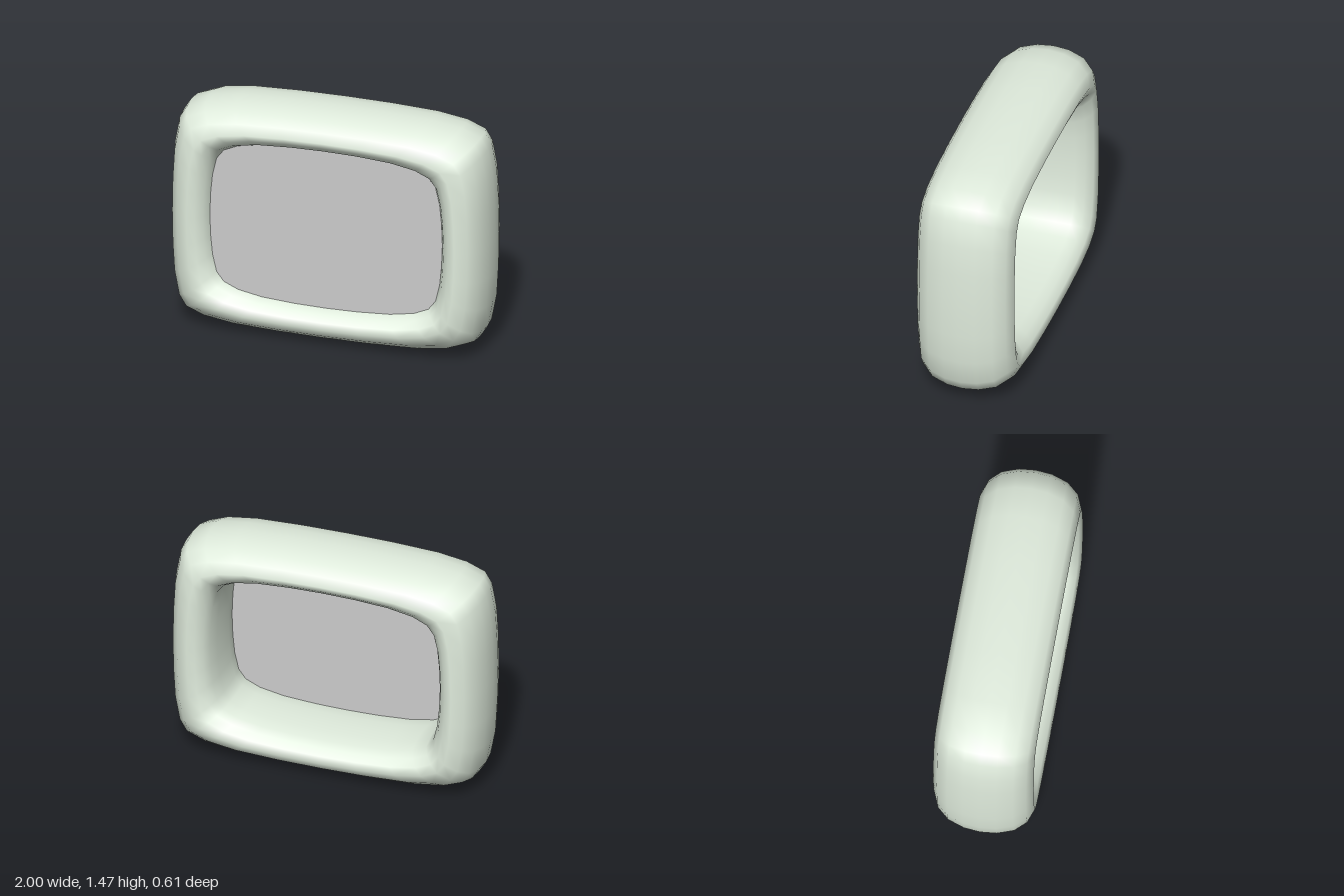
import * as THREE from 'three';

const CENTRE_Y = 0.737;
const SCREEN_Z = 0.19;

// One quarter of the rounded outline in unit size: outer edge and opening
const OUTER = [[1, 0], [0.996, 0.3], [0.985, 0.56], [0.955, 0.78], [0.91, 0.88], [0.79, 0.943], [0.6, 0.98], [0.3, 0.996]];
const INNER = [[1, 0], [0.993, 0.27], [0.977, 0.505], [0.942, 0.72], [0.88, 0.835], [0.757, 0.913], [0.55, 0.967], [0.27, 0.993]];
const TOP = [0, 1];

// Full counter-clockwise outline; blend 0 is the outer shape, 1 the opening
function outline(halfW, halfH, blend) {
  const quarter = OUTER.map(([x, y], i) => [
    THREE.MathUtils.lerp(x, INNER[i][0], blend),
    THREE.MathUtils.lerp(y, INNER[i][1], blend),
  ]);
  const mirrored = quarter.slice(1).reverse().map(([x, y]) => [-x, y]);
  const half = [...quarter, TOP, ...mirrored];
  return [...half, ...half.map(([x, y]) => [-x, -y])]
    .map(([x, y]) => new THREE.Vector2(x * halfW, y * halfH));
}

// Rings across the front half of the casing: half width, half height, z, blend
const FRONT_RINGS = [
  [1, 0.737, 0, 0],
  [0.992, 0.73, 0.1, 0],
  [0.963, 0.708, 0.2, 0.05],
  [0.912, 0.664, 0.27, 0.2],
  [0.84, 0.612, 0.305, 0.5],
  [0.795, 0.573, 0.287, 0.75],
  [0.755, 0.537, 0.245, 0.9],
  [0.73, 0.516, SCREEN_Z, 1],
  [0.719, 0.507, 0.1, 1],
  [0.715, 0.503, 0, 1],
];

// Closed loft through the rings, front half mirrored to the back
function casingGeometry() {
  const back = FRONT_RINGS.slice(1, -1).reverse().map(([w, h, z, b]) => [w, h, -z, b]);
  const rings = [...FRONT_RINGS, ...back];
  const positions = [];
  const index = [];
  let n = 0;
  for (const [w, h, z, b] of rings) {
    const points = outline(w, h, b);
    n = points.length;
    for (const p of points) positions.push(p.x, p.y, z);
  }
  for (let j = 0; j < rings.length; j++) {
    const j2 = (j + 1) % rings.length;
    for (let i = 0; i < n; i++) {
      const i2 = (i + 1) % n;
      const a = j * n + i, b = j * n + i2, c = j2 * n + i2, d = j2 * n + i;
      index.push(a, b, c, a, c, d);
    }
  }
  const geometry = new THREE.BufferGeometry();
  geometry.setAttribute('position', new THREE.Float32BufferAttribute(positions, 3));
  geometry.setIndex(index);
  geometry.computeVertexNormals();
  return geometry;
}

export function createModel() {
  const model = new THREE.Group();
  model.name = 'framedScreen';

  // Soft, pillowy casing around the opening
  const casing = new THREE.Mesh(casingGeometry(), new THREE.MeshStandardMaterial({ color: 0xe0ecdd }));
  casing.name = 'casing';
  casing.position.y = CENTRE_Y;

  // Thin flat screen set just behind the front rim, open to the back
  const screen = new THREE.Mesh(
    new THREE.ShapeGeometry(new THREE.Shape(outline(0.731, 0.517, 1))),
    new THREE.MeshStandardMaterial({ color: 0xcccccc, side: THREE.DoubleSide }),
  );
  screen.name = 'screen';
  screen.position.set(0, CENTRE_Y, SCREEN_Z);

  model.add(casing, screen);
  return model;
}
